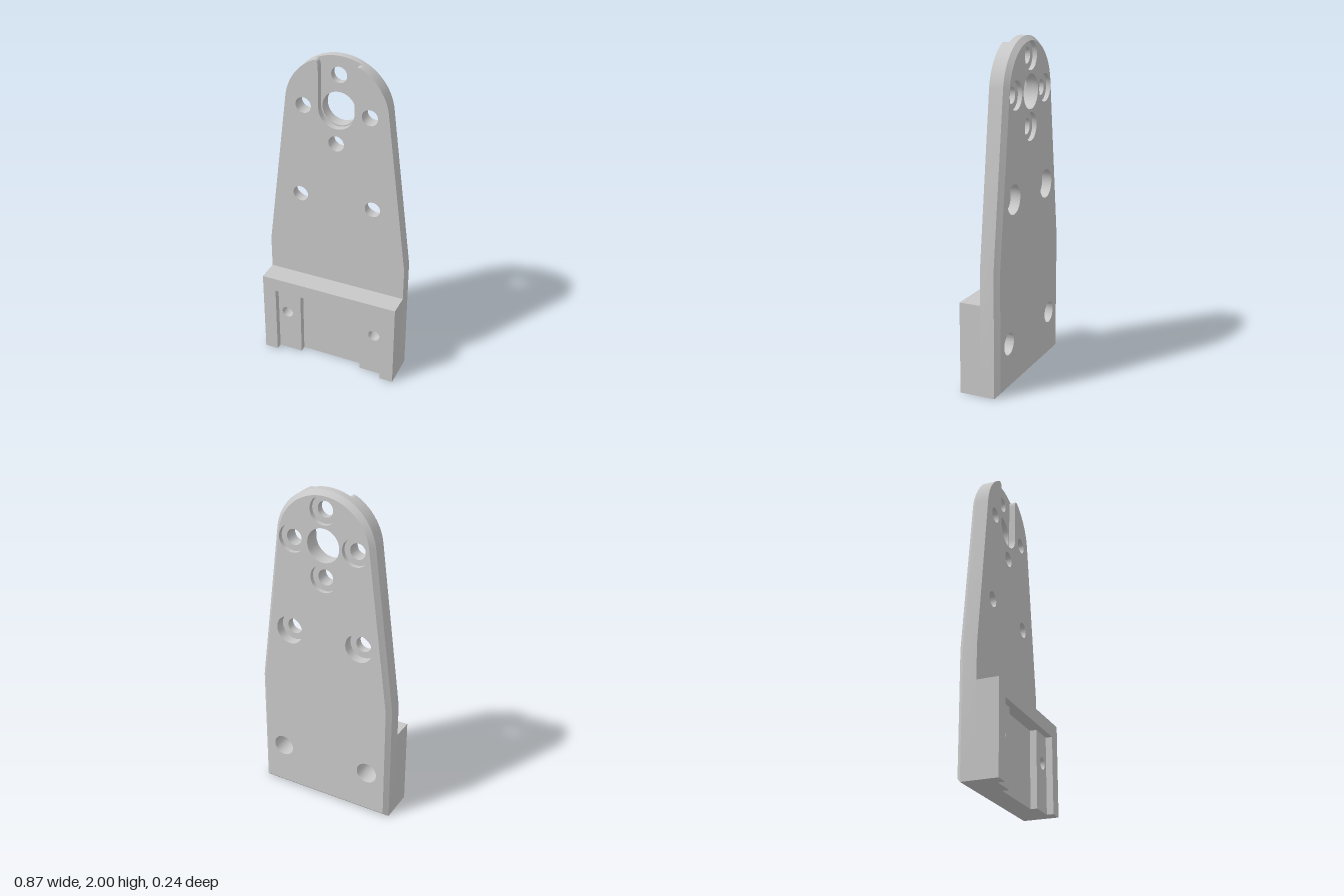
import * as THREE from 'three';
import { mergeGeometries, toCreasedNormals } from 'three/addons/utils/BufferGeometryUtils.js';

const W = 0.433, SHOULDER = 0.75, CY = 1.69, R = 0.31;   // plate half width, taper start, head arc
const SLOT = 0.108;                                      // slot half width
const Z = { back: -0.12, chamfer: -0.093, midSeat: -0.06, slot: -0.05, plate: -0.01,
  boltSeat: 0.03, channel: 0.04, recess: 0.08, front: 0.12 };

const headHoles = [[0, 1.89], [0.199, CY], [-0.199, CY], [0, 1.491]];
const midHoles = [[0.226, 1.116], [-0.226, 1.116]];
const footHoles = [[0.29, 0.285], [-0.29, 0.285]];

function drill(shape, centres, r) {
  for (const [x, y] of centres) {
    shape.holes.push(new THREE.Path().absarc(x, y, r, 0, Math.PI * 2, true));
  }
  return shape;
}

// Tapered outline with round head, inset by c; optionally with the slot open at the top
function outline(c = 0, slotted = false) {
  const w = W - c, y = SHOULDER - 0.064 * c, r = R - c;
  const a = Math.atan2(y - CY, w) + Math.acos(r / Math.hypot(w, y - CY));
  const s = new THREE.Shape();
  s.moveTo(-w, c);
  s.lineTo(w, c);
  s.lineTo(w, y);
  if (slotted) {
    const b = Math.acos(0.137 / R), top = CY + R * Math.sin(b);
    s.absarc(0, CY, r, a, b, false);
    s.quadraticCurveTo(SLOT, 1.975, SLOT, top - 0.04);
    s.lineTo(SLOT, CY);
    s.absarc(0, CY, SLOT, 0, -Math.PI, true);
    s.lineTo(-SLOT, top - 0.04);
    s.quadraticCurveTo(-SLOT, 1.975, -0.137, top);
    s.absarc(0, CY, r, Math.PI - b, Math.PI - a, false);
  } else {
    s.absarc(0, CY, r, a, Math.PI - a, false);
  }
  s.lineTo(-w, y);
  s.closePath();
  return s;
}

function layer(shape, z0, z1) {
  const g = new THREE.ExtrudeGeometry(shape, { depth: z1 - z0, bevelEnabled: false, curveSegments: 24 });
  g.translate(0, 0, z0);
  g.deleteAttribute('uv');
  return g;
}

// Strip of quads joining two matching loops
function loft(loopA, zA, loopB, zB) {
  const pos = [], n = loopA.length;
  for (let i = 0; i < n; i++) {
    const j = (i + 1) % n;
    const a = [loopA[i].x, loopA[i].y, zA], b = [loopA[j].x, loopA[j].y, zA];
    const c = [loopB[j].x, loopB[j].y, zB], d = [loopB[i].x, loopB[i].y, zB];
    pos.push(...a, ...b, ...c, ...a, ...c, ...d);
  }
  const g = new THREE.BufferGeometry();
  g.setAttribute('position', new THREE.Float32BufferAttribute(pos, 3));
  g.computeVertexNormals();
  return g;
}

// Chamfered back layer: sloped rim, rear face and hole walls
function chamferLayer() {
  const c = Z.chamfer - Z.back;
  const rear = drill(outline(c), [[0, CY]], 0.1);
  drill(rear, headHoles, 0.082);
  drill(rear, midHoles, 0.086);
  drill(rear, footHoles, 0.065);
  const parts = [loft(outline(c).getPoints(24), Z.back, outline().getPoints(24), Z.chamfer)];
  for (const h of rear.holes) {
    const p = h.getPoints(24);
    parts.push(loft(p, Z.back, p, Z.chamfer));
  }
  const face = new THREE.ShapeGeometry(rear, 24).toNonIndexed();
  face.deleteAttribute('uv');
  const p = face.attributes.position;
  for (let i = 0; i < p.count; i += 3) {       // reverse corners so the face looks backwards
    const x = p.getX(i), y = p.getY(i);
    p.setXY(i, p.getX(i + 1), p.getY(i + 1));
    p.setXY(i + 1, x, y);
  }
  face.translate(0, 0, Z.back);
  face.computeVertexNormals();
  parts.push(face);
  return parts;
}

// Foot slab; half > 0 cuts a notch open at the bottom
function footShape(half = 0) {
  const top = 0.545, notch = 0.458;
  const pts = half
    ? [[-W, 0], [-half, 0], [-half, notch], [half, notch], [half, 0], [W, 0], [W, top], [-W, top]]
    : [[-W, 0], [W, 0], [W, top], [-W, top]];
  return new THREE.Shape(pts.map(([x, y]) => new THREE.Vector2(x, y)));
}

export function createModel() {
  const group = new THREE.Group();
  group.name = 'mountingBracket';
  const grey = new THREE.MeshStandardMaterial({ color: 0xc8c8c8 });
  grey.name = 'light grey metal';

  const add = (name, parts) => {
    const mesh = new THREE.Mesh(toCreasedNormals(mergeGeometries(parts), 0.5), grey);
    mesh.name = name;
    group.add(mesh);
  };

  // Plate, split in depth where the bores change size
  const core = (midRadius, shape, head) => {
    drill(shape, head, 0.047);
    drill(shape, midHoles, midRadius);
    return drill(shape, footHoles, 0.065);
  };
  const bored = () => drill(outline(), [[0, CY]], 0.1);
  add('plate', [
    ...chamferLayer(),
    layer(core(0.086, bored(), headHoles), Z.chamfer, Z.midSeat),
    layer(core(0.047, bored(), headHoles), Z.midSeat, Z.slot),
    layer(core(0.047, outline(0, true), headHoles.slice(1)), Z.slot, Z.plate),
  ]);

  // Foot block with stepped recess and bolt holes
  add('footBlock', [
    layer(drill(footShape(), footHoles, 0.065), Z.plate, Z.boltSeat),
    layer(drill(footShape(), footHoles, 0.036), Z.boltSeat, Z.channel),
    layer(drill(footShape(0.2), footHoles, 0.036), Z.channel, Z.recess),
    layer(footShape(0.35), Z.recess, Z.front),
  ]);

  return group;
}
